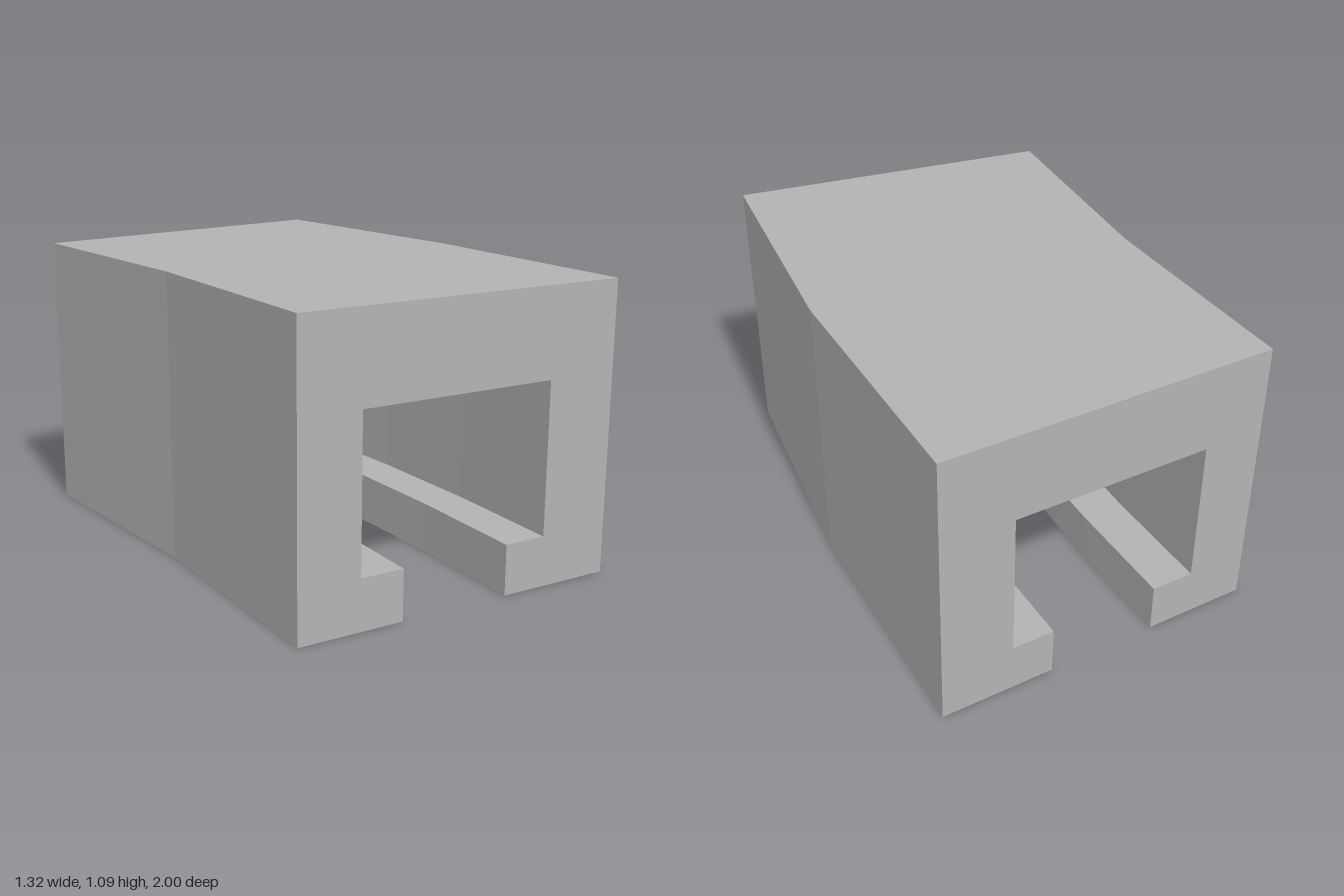
import * as THREE from 'three';

// End-face outline of the slotted channel, with the two inward lips
const outline = [
  [-0.66, 0], [-0.257, 0], [-0.257, 0.19], [-0.423, 0.19], [-0.423, 0.76],
  [0.333, 0.76], [0.333, 0.19], [0.17, 0.19], [0.17, 0], [0.61, 0],
  [0.61, 1.09], [-0.66, 1.09],
];

export function createModel() {
  const grey = new THREE.MeshStandardMaterial({ color: 0xb3b3b3 });
  grey.name = 'grey';

  const shape = new THREE.Shape(outline.map(([x, y]) => new THREE.Vector2(x, y)));
  const geometry = new THREE.ExtrudeGeometry(shape, { depth: 2, steps: 4, bevelEnabled: false });
  geometry.translate(0, 0, -1);

  // Bow the channel towards +x at mid length and slant both ends radially.
  // The outer walls have a single kink; the slot follows a finer curve.
  const p = geometry.attributes.position;
  for (let i = 0; i < p.count; i++) {
    const x = p.getX(i), t = p.getZ(i);
    const across = (x + 0.66) / 1.27;
    const a = Math.abs(t);
    const bow = Math.abs(x) < 0.5 ? 1 - a * (0.12 + 0.88 * a) : 1 - a;
    p.setX(i, x + (0.042 + 0.008 * across) * bow);
    p.setZ(i, t * (0.9 + 0.1 * across));
  }
  geometry.computeVertexNormals();

  const channel = new THREE.Mesh(geometry, grey);
  channel.name = 'curvedChannel';

  const model = new THREE.Group();
  model.name = 'curvedTrackSection';
  model.add(channel);
  return model;
}
